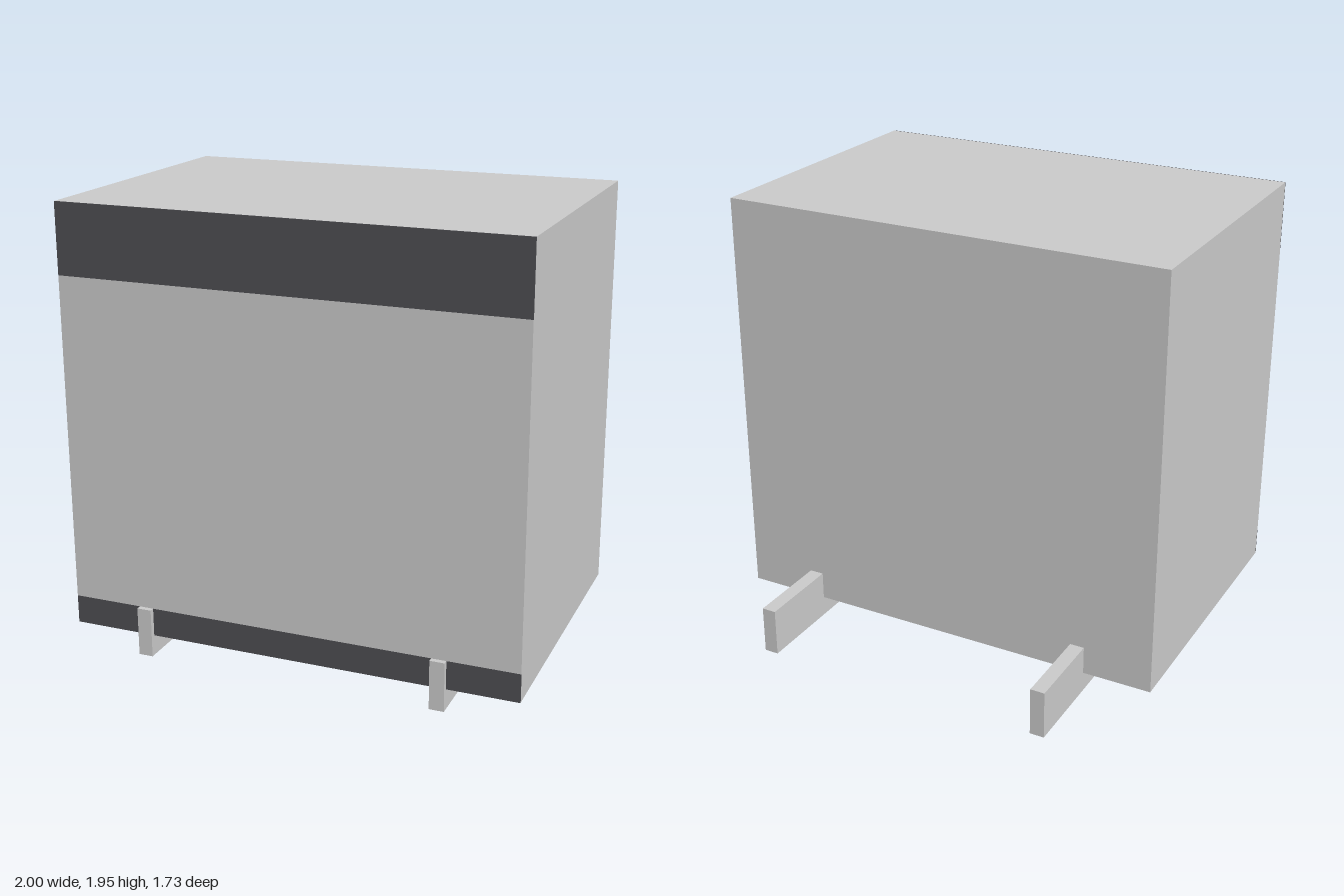
import * as THREE from 'three';

export function createModel() {
  const model = new THREE.Group();
  const grey = new THREE.MeshStandardMaterial({ color: 0xcccccc });
  const dark = new THREE.MeshStandardMaterial({ color: 0x4e4e52 });

  // Box given by its lower and upper corners
  function box(name, min, max, material = grey) {
    const [w, h, d] = max.map((v, i) => v - min[i]);
    const mesh = new THREE.Mesh(new THREE.BoxGeometry(w, h, d), material);
    mesh.position.set(min[0] + w / 2, min[1] + h / 2, min[2] + d / 2);
    mesh.name = name;
    model.add(mesh);
  }

  const back = -0.49, front = 0.845, face = front - 0.004;

  // Cabinet body, with the front face split into three bands
  box('cabinetBody', [-1, 0.09, back], [1, 1.945, face]);
  box('plinthBand', [-1, 0.09, face], [1, 0.215, front], dark);
  box('frontPanel', [-1, 0.215, face], [1, 1.64, front]);
  box('topBand', [-1, 1.64, face], [1, 1.945, front], dark);

  // Floor rails running under the cabinet and out behind it
  for (const [name, x] of [['leftRail', 0.66], ['rightRail', -0.66]]) {
    box(name, [x - 0.032, 0, -0.867], [x + 0.032, 0.215, 0.867]);
  }

  return model;
}
